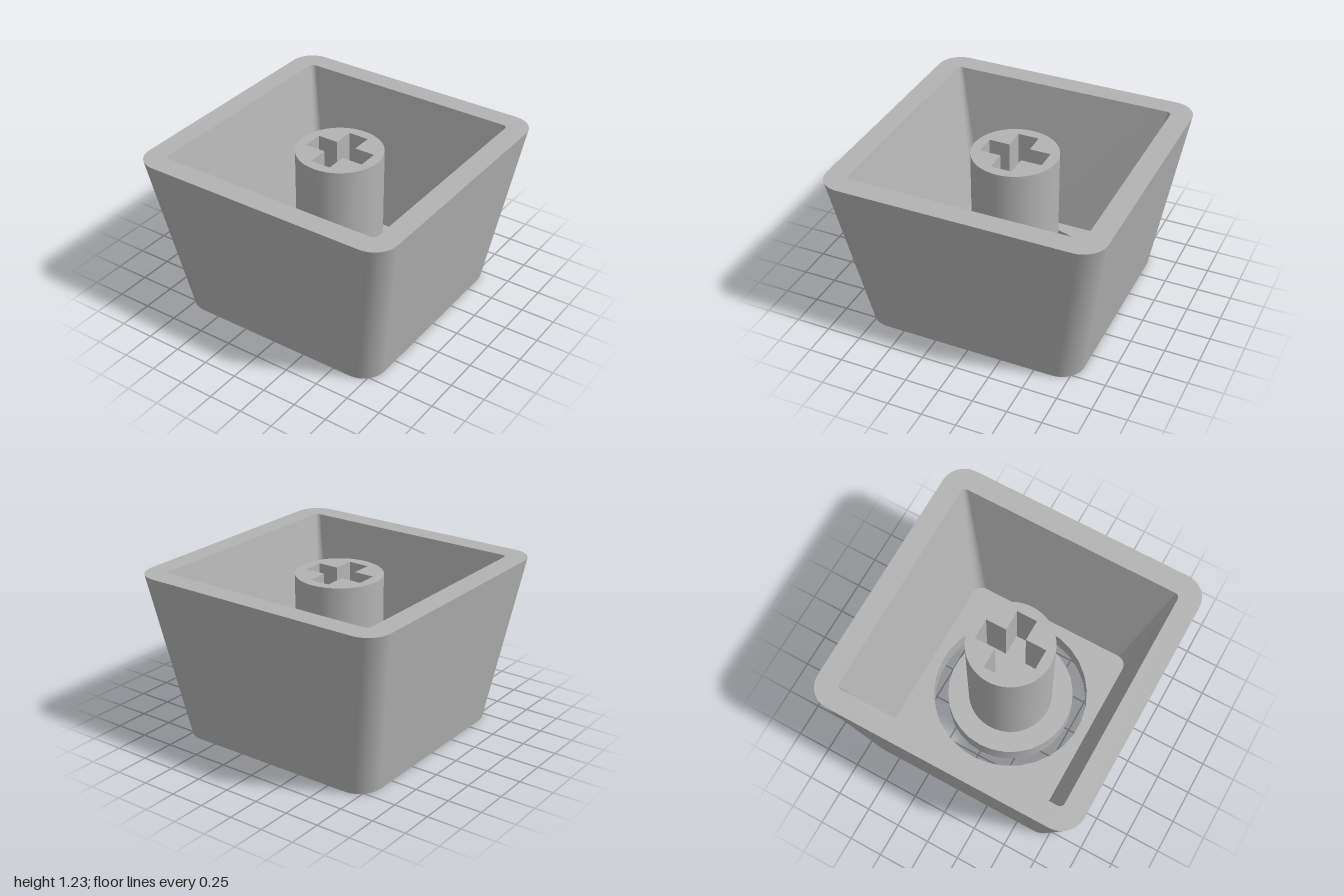
import * as THREE from 'three';

const HEIGHT = 1.225, FLOOR = 0.167, STEM_TOP = 1.16, CROSS_FLOOR = 0.7;
const HOLE_R = 0.57, DISC_R = 0.465, STEM_R = 0.31;

// Counter-clockwise outlines in plan
function roundedSquare(half, r, seg = 10) {
  const pts = [];
  const c = half - r;
  [[c, c], [-c, c], [-c, -c], [c, -c]].forEach(([x, y], k) => {
    for (let i = 0; i <= seg; i++) {
      const a = (k + i / seg) * Math.PI / 2;
      pts.push(new THREE.Vector2(x + r * Math.cos(a), y + r * Math.sin(a)));
    }
  });
  return pts;
}

function circle(r, sides) {
  return Array.from({ length: sides }, (_, i) => {
    const a = i / sides * Math.PI * 2;
    return new THREE.Vector2(r * Math.cos(a), r * Math.sin(a));
  });
}

function cross(reach, arm) {
  const corner = [[reach, -arm], [reach, arm], [arm, arm]];
  const pts = [];
  for (let k = 0; k < 4; k++) {
    for (const [x, y] of corner) {
      pts.push(new THREE.Vector2(x, y).rotateAround(new THREE.Vector2(), k * Math.PI / 2));
    }
  }
  return pts;
}

// Wall between two outlines; listing the upper one first makes it face inward
function wall(from, y0, to, y1, flat = false) {
  const pos = [], index = [], n = from.length;
  from.forEach((p) => pos.push(p.x, y0, -p.y));
  to.forEach((p) => pos.push(p.x, y1, -p.y));
  for (let i = 0; i < n; i++) {
    const j = (i + 1) % n;
    index.push(i, j, n + j, i, n + j, n + i);
  }
  let geo = new THREE.BufferGeometry();
  geo.setAttribute('position', new THREE.Float32BufferAttribute(pos, 3));
  geo.setIndex(index);
  if (flat) geo = geo.toNonIndexed();
  geo.computeVertexNormals();
  return geo;
}

// Horizontal face, optionally pierced, looking up or down
function face(outline, hole, y, up = true) {
  const shape = new THREE.Shape(outline);
  if (hole) shape.holes.push(new THREE.Path(hole));
  return new THREE.ShapeGeometry(shape).rotateX(up ? -Math.PI / 2 : Math.PI / 2).translate(0, y, 0);
}

export function createModel() {
  const grey = new THREE.MeshStandardMaterial({ color: 0xb3b3b3 });
  grey.name = 'grey plastic';

  const model = new THREE.Group();
  model.name = 'keycap';
  const part = (name, parts) => {
    const group = new THREE.Group();
    group.name = name;
    for (const [label, geo] of Object.entries(parts)) {
      const mesh = new THREE.Mesh(geo, grey);
      mesh.name = label;
      group.add(mesh);
    }
    model.add(group);
  };

  // Tapered open shell with a round opening in its floor
  const outerBase = roundedSquare(0.805, 0.17);
  const outerRim = roundedSquare(1, 0.17);
  const innerBase = roundedSquare(0.647, 0.08);
  const innerRim = roundedSquare(0.845, 0.035);
  const hole = circle(HOLE_R, 30);
  part('shell', {
    outerWall: wall(outerBase, 0, outerRim, HEIGHT),
    innerWall: wall(innerRim, HEIGHT, innerBase, FLOOR),
    rim: face(outerRim, innerRim, HEIGHT),
    floorInside: face(innerBase, hole, FLOOR),
    floorOutside: face(outerBase, hole, 0, false),
    holeWall: wall(hole, FLOOR, hole, 0),
  });

  // Separate round plate in the opening
  const disc = circle(DISC_R, 30);
  const stem = circle(STEM_R, 64);
  part('disc', {
    discSide: wall(disc, 0, disc, FLOOR),
    discTop: face(disc, stem, FLOOR),
    discBottom: face(disc, null, 0, false),
  });

  // Stem with a cross-shaped socket
  const socket = cross(0.232, 0.077);
  part('stem', {
    stemSide: wall(stem, FLOOR, stem, STEM_TOP),
    stemTop: face(stem, socket, STEM_TOP),
    socketWall: wall(socket, STEM_TOP, socket, CROSS_FLOOR, true),
    socketFloor: face(socket, null, CROSS_FLOOR),
  });

  return model;
}
